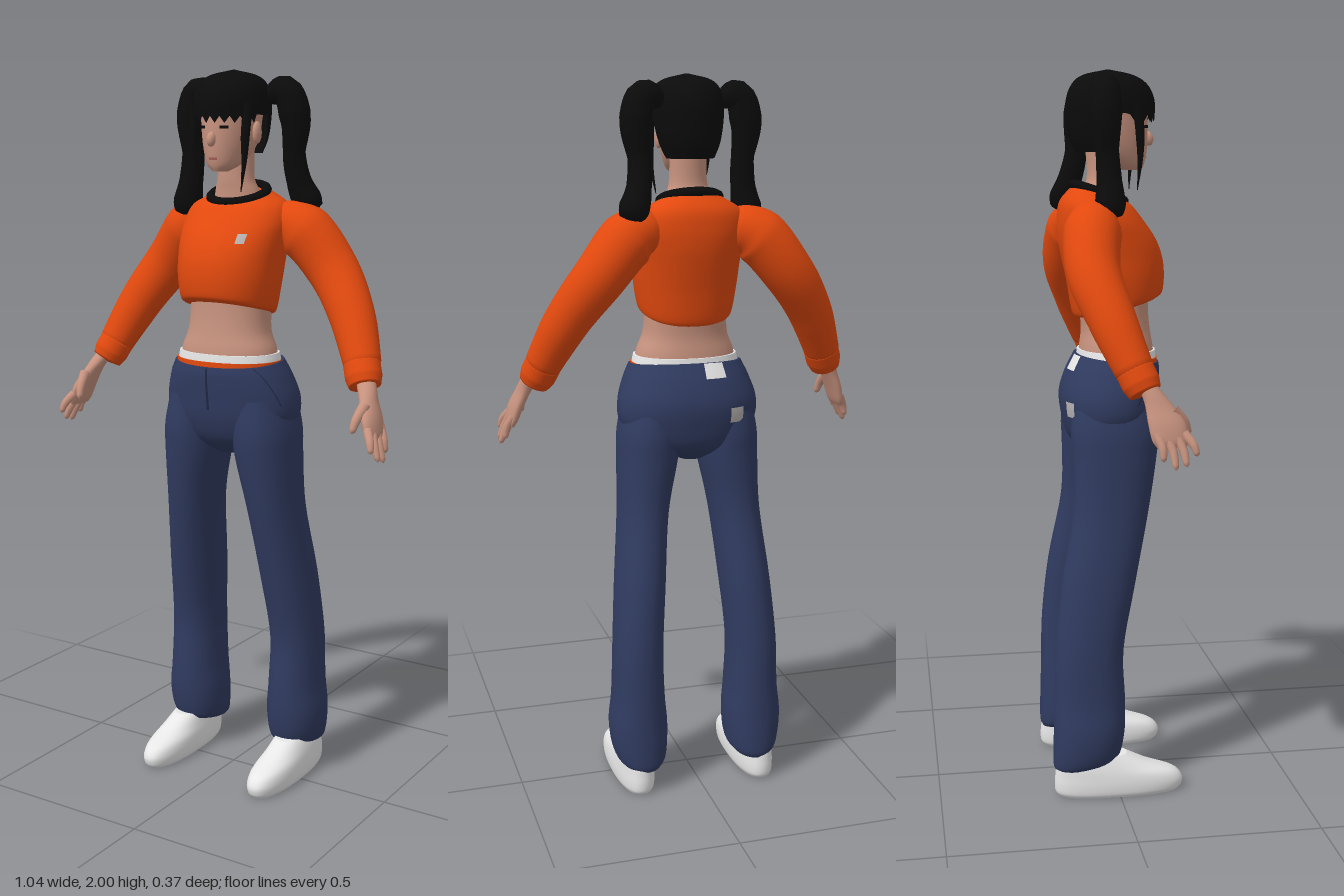
import * as THREE from 'three';
import { mergeVertices } from 'three/addons/utils/BufferGeometryUtils.js';

const V = (x, y, z) => new THREE.Vector3(x, y, z);
const paint = (name, color, side = THREE.FrontSide) => {
  const m = new THREE.MeshStandardMaterial({ color, side });
  m.name = name;
  return m;
};

// Smooth surface through rings of [y, centreX, radiusX, frontZ, backZ, tilt].
function surf(rings, p = 1, off = 0) {
  const a = new THREE.CatmullRomCurve3(rings.map(r => V(r[0], r[1], r[2])), false, 'catmullrom');
  const b = new THREE.CatmullRomCurve3(rings.map(r => V(r[3], r[4], r[5] || 0)), false, 'catmullrom');
  const pw = k => Math.sign(k) * Math.abs(k) ** p;
  return (t, v) => {
    const A = a.getPoint(v), B = b.getPoint(v), s = Math.sin(t), c = Math.cos(t);
    return V(A.y + (A.z + off) * pw(s), A.x + B.z * c, (B.x + B.y) / 2 + ((B.x - B.y) / 2 + off) * pw(c));
  };
}

// Mesh grid over a surface; closed grids wrap round, caps fill both ends.
function grid(f, t0, t1, v0, v1, nt, nv, closed = false, caps = false) {
  const rows = [];
  for (let j = 0; j <= nv; j++) {
    const row = [];
    for (let i = 0; i < nt + (closed ? 0 : 1); i++) row.push(f(t0 + (t1 - t0) * i / nt, v0 + (v1 - v0) * j / nv));
    rows.push(row);
  }
  if (caps) {
    const centre = row => {
      const c = V(0, 0, 0);
      row.forEach(q => c.addScaledVector(q, 1 / row.length));
      return row.map(() => c);
    };
    const first = rows[0], last = rows[nv];
    rows.unshift(centre(first), first);
    rows.push(last, centre(last));
  }
  const w = rows[0].length, idx = [];
  for (let j = 0; j < rows.length - 1; j++) for (let i = 0; i < nt; i++) {
    const k = (i + 1) % w, a = j * w + i, b = j * w + k, c = a + w, d = b + w;
    idx.push(a, b, d, a, d, c);
  }
  const g = new THREE.BufferGeometry().setFromPoints(rows.flat());
  g.setIndex(idx);
  g.computeVertexNormals();
  return g;
}
const loft = (rings, p = 1, nt = 40) => grid(surf(rings, p), 0, Math.PI * 2, 0, 1, nt, (rings.length - 1) * 5, true, true);

// Tube along points whose radius follows [position, radius] keys.
function sweep(points, keys, radial = 16, n = 36, closed = false) {
  const curve = new THREE.CatmullRomCurve3(points.map(q => V(...q)), closed);
  const g = new THREE.TubeGeometry(curve, n, 1, radial, closed);
  const pos = g.attributes.position, nor = g.attributes.normal;
  const radius = u => {
    let i = 1;
    while (i < keys.length - 1 && keys[i][0] < u) i++;
    const [a, ra] = keys[i - 1], [b, rb] = keys[i];
    return THREE.MathUtils.lerp(ra, rb, THREE.MathUtils.clamp((u - a) / (b - a), 0, 1));
  };
  for (let i = 0; i < pos.count; i++) {
    const u = Math.floor(i / (radial + 1)) / n, c = curve.getPointAt(u), r = radius(u);
    pos.setXYZ(i, c.x + nor.getX(i) * r, c.y + nor.getY(i) * r, c.z + nor.getZ(i) * r);
  }
  g.deleteAttribute('uv');
  g.deleteAttribute('normal');
  const m = mergeVertices(g, 1e-5);
  m.computeVertexNormals();
  return m;
}

export function createModel() {
  const root = new THREE.Group();
  const D = THREE.DoubleSide;
  const skin = paint('skin', 0xc8937f), black = paint('black', 0x0b0b0c, D), orange = paint('orange', 0xe2490e);
  const navy = paint('navy', 0x303b60), seam = paint('dark navy', 0x1f2744, D), white = paint('white', 0xe9e9e9, D);
  const grey = paint('grey', 0xbab4b4, D), lip = paint('lip', 0xa9625a, D);
  const add = (name, geo, mat, parent = root) => {
    const m = new THREE.Mesh(geo, mat);
    m.name = name;
    parent.add(m);
    return m;
  };

  // Head, neck and face
  const face = [[1.733, 0, .018, .092, .04], [1.75, 0, .042, .1, 0], [1.78, 0, .058, .106, -.05], [1.82, 0, .069, .109, -.08],
    [1.87, 0, .075, .109, -.09], [1.92, 0, .076, .107, -.095], [1.97, 0, .05, .07, -.06]];
  add('head', loft(face), skin);
  add('neck', loft([[1.62, 0, .08, .03, -.09], [1.68, 0, .064, .032, -.07], [1.72, 0, .052, .035, -.058], [1.82, 0, .05, .035, -.065]]), skin);
  const nose = add('nose', new THREE.SphereGeometry(1, 16, 12), skin);
  nose.scale.set(.012, .02, .015);
  nose.position.set(0, 1.818, .111);
  nose.rotation.x = -.25;
  const faceSkin = surf(face, 1, .002);
  add('lips', grid(faceSkin, -.24, .24, .25, .285, 8, 2), lip);
  for (const s of [-1, 1]) {
    add('eye', grid(faceSkin, s * .46 - .15, s * .46 + .15, .585, .612, 6, 2), black);
    const ear = add('ear', new THREE.SphereGeometry(1, 12, 10), skin);
    ear.scale.set(.011, .03, .018);
    ear.position.set(s * .077, 1.835, .005);
  }

  // Hair cap with fringe: the lower edge rises over the face and ears
  const hair = surf([[1.78, 0, .075, .1, -.09], [1.82, 0, .09, .12, -.108], [1.87, 0, .098, .127, -.115], [1.92, 0, .1, .127, -.115],
    [1.96, 0, .09, .108, -.1], [1.985, 0, .062, .07, -.07], [2, 0, .003, .004, -.004]]);
  const edge = t => {
    const a = Math.abs(t);
    return a < 1.25 ? .33 + .03 * Math.sin(t * 24) : a < 1.75 ? .37 : Math.max(0, .37 - (a - 1.75) * 1.5);
  };
  add('hairCap', grid((t, w) => hair(t, THREE.MathUtils.lerp(edge(t), 1, w)), -Math.PI, Math.PI, 0, 1, 96, 24, true), black);
  const tailKeys = [[0, .02], [.1, .04], [.3, .044], [.55, .031], [.75, .034], [.9, .042], [.97, .034], [1, .0005]];
  add('leftPonytail', sweep([[.08, 1.93, -.04], [.135, 1.942, -.05], [.158, 1.87, -.06], [.15, 1.77, -.07],
    [.16, 1.69, -.09], [.19, 1.62, -.112]], tailKeys), black);
  add('rightPonytail', sweep([[-.08, 1.93, -.03], [-.135, 1.942, -.03], [-.158, 1.87, -.03], [-.15, 1.77, -.025],
    [-.156, 1.69, -.02], [-.175, 1.605, -.02]], tailKeys), black);
  for (const s of [-1, 1])
    add('sideLock', sweep([[s * .086, 1.91, .065], [s * .083, 1.83, .074], [s * .08, 1.76, .075], [s * .067, 1.68, .07]],
      [[0, .014], [.4, .012], [1, .001]], 8, 16), black);

  // Bare waist
  add('waist', loft([[1.19, 0, .146, .125, -.085], [1.25, 0, .139, .123, -.08], [1.3, 0, .12, .115, -.075],
    [1.36, 0, .115, .11, -.08], [1.44, 0, .115, .11, -.08]], .92), skin);

  // Cropped top with round collar and chest badge
  const top = [[1.362, 0, .12, .138, -.085, .03], [1.375, 0, .131, .15, -.1, .03], [1.44, 0, .142, .154, -.115, .01],
    [1.5, 0, .147, .148, -.13], [1.55, 0, .152, .128, -.139], [1.6, 0, .155, .093, -.141],
    [1.645, 0, .137, .061, -.132, -.006], [1.672, 0, .085, .042, -.095, -.022]];
  add('croppedTop', loft(top, .9, 48), orange);
  add('chestBadge', grid(surf(top, .9, .003), .48, .66, .56, .63, 5, 4), grey);
  const ring = [];
  for (let i = 0; i < 16; i++) {
    const t = i / 16 * Math.PI * 2;
    ring.push([.08 * Math.sin(t), 1.672 - .023 * Math.cos(t), -.026 + .069 * Math.cos(t)]);
  }
  add('collar', sweep(ring, [[0, .0135], [1, .0135]], 10, 48, true), black);

  // Arms and hands
  for (const [s, side] of [[1, 'left'], [-1, 'right']]) {
    const arm = new THREE.Group();
    arm.name = side + 'Arm';
    root.add(arm);
    const path = (...pts) => pts.map(([x, y, z]) => [s * x, y, z]);
    add('sleeve', sweep(path([.08, 1.6, -.05], [.17, 1.58, -.068], [.265, 1.475, -.08], [.345, 1.36, -.045], [.42, 1.205, .015]),
      [[0, .03], [.08, .06], [.2, .078], [.5, .069], [.75, .06], [.95, .05], [1, .0005]], 24, 48), orange, arm);
    add('cuff', sweep(path([.4, 1.245, 0], [.415, 1.21, .015], [.43, 1.175, .03]),
      [[0, .03], [.15, .05], [.6, .05], [.9, .043], [1, .0005]], 24, 20), orange, arm);
    add('palm', loft([[1.052, s * .488, .01, .122, .045], [1.07, s * .484, .017, .127, .034], [1.11, s * .472, .021, .122, .026],
      [1.15, s * .455, .022, .095, .022], [1.18, s * .441, .025, .072, .014], [1.21, s * .425, .026, .05, -.002]], 1, 20), skin, arm);
    // Four fingers, then the thumb
    [[.116, .146, .508, 1.03], [.092, .118, .516, 1.005], [.068, .09, .517, .998], [.045, .06, .508, 1.018]].forEach(([z0, z1, x, y]) =>
      add('finger', sweep(path([.482, 1.085, z0], [.5, (1.085 + y) / 2, (z0 + z1) / 2 + .006], [x, y, z1]),
        [[0, .013], [.6, .011], [.92, .008], [1, .0005]], 10, 14), skin, arm));
    add('thumb', sweep(path([.46, 1.145, .09], [.452, 1.11, .122], [.446, 1.075, .137]),
      [[0, .016], [.6, .012], [.92, .009], [1, .0005]], 10, 14), skin, arm);
  }

  // Underwear band above the trousers
  add('whiteBand', loft([[1.19, 0, .152, .132, -.092], [1.22, 0, .151, .131, -.089], [1.243, 0, .146, .129, -.086]], .92), white);
  add('orangeBand', loft([[1.19, 0, .156, .135, -.092], [1.223, 0, .154, .134, -.088]], .92), orange);

  // Trousers: hips, seams, back label and patch
  const hips = [[.955, 0, .04, .05, -.07], [1, 0, .15, .1, -.115], [1.06, 0, .193, .125, -.132], [1.12, 0, .197, .134, -.137],
    [1.18, 0, .178, .14, -.12], [1.22, 0, .159, .138, -.095, -.011]];
  add('hips', loft(hips, .9, 48), navy);
  const hipSkin = surf(hips, .9, .002);
  add('flySeam', grid(hipSkin, -.012, .012, .5, .98, 1, 10), seam);
  for (const s of [-1, 1])
    add('pocketSeam', grid((t, v) => hipSkin(t + s * (1 - v) * .75, v), s * .85 - .012, s * .85 + .012, .55, .98, 1, 12), seam);
  const patchSkin = surf(hips, .9, .004);
  add('backLabel', grid(patchSkin, 3.24, 3.58, .84, 1, 6, 4), white);
  add('backPatch', grid(patchSkin, 3.56, 3.8, .42, .56, 6, 4), grey);

  // Legs and shoes
  for (const [s, side] of [[1, 'left'], [-1, 'right']]) {
    add(side + 'TrouserLeg', loft([[.085, s * .167, .06, 0, -.176, .016], [.1, s * .168, .072, .006, -.182, .014],
      [.14, s * .17, .08, .014, -.182, .006], [.2, s * .171, .082, .02, -.18], [.28, s * .17, .074, .02, -.178],
      [.42, s * .169, .07, .016, -.174], [.6, s * .155, .07, .05, -.155], [.8, s * .135, .07, .09, -.118],
      [.95, s * .118, .083, .115, -.117], [1.03, s * .112, .086, .122, -.12], [1.12, s * .1, .08, .115, -.11]], .92), navy);
    add(side + 'Shoe', loft([[0, s * .18, .05, .172, -.17], [.012, s * .18, .056, .182, -.179], [.035, s * .18, .058, .184, -.181],
      [.06, s * .18, .056, .16, -.179], [.085, s * .18, .051, .09, -.176], [.115, s * .178, .044, .025, -.17]], .85), white);
  }
  return root;
}
